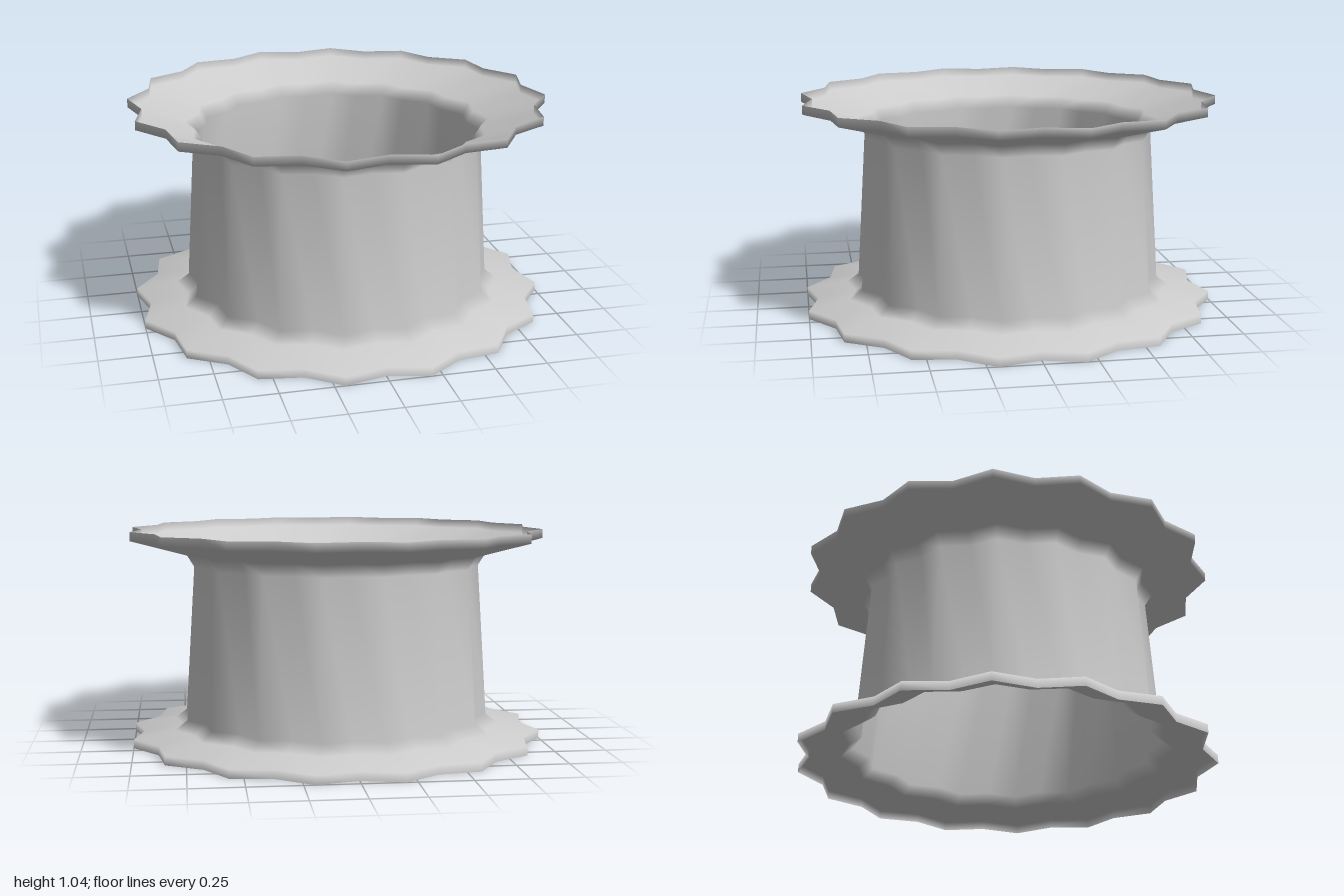
import * as THREE from 'three';
import { mergeVertices } from 'three/addons/utils/BufferGeometryUtils.js';

const LOBES = 16;

// Profile from foot to lip: [ridge radius, groove radius, height]
const PROFILE = [
  [1.02, 0.951, 0],
  [1.02, 0.951, 0.042],
  [0.815, 0.765, 0.075],
  [0.756, 0.705, 0.12],
  [0.707, 0.665, 0.865],
  [0.745, 0.7, 0.925],
  [1.02, 0.951, 1.0],
  [1.02, 0.951, 1.043],
];

// Lathe the ridge profile, then pull every second column in to the groove radius
function flutedShell() {
  const points = PROFILE.map(([ridge, , y]) => new THREE.Vector2(ridge, y));
  const geometry = new THREE.LatheGeometry(points, LOBES * 2);
  const pos = geometry.attributes.position;
  for (let column = 0; column <= LOBES * 2; column += 2) {
    PROFILE.forEach(([ridge, groove], row) => {
      const i = column * PROFILE.length + row;
      const k = groove / ridge;
      pos.setXYZ(i, pos.getX(i) * k, pos.getY(i), pos.getZ(i) * k);
    });
  }
  // Weld the seam so the shading is smooth all round
  geometry.deleteAttribute('uv');
  geometry.deleteAttribute('normal');
  const welded = mergeVertices(geometry, 1e-4);
  welded.computeVertexNormals();
  return welded;
}

export function createModel() {
  const group = new THREE.Group();
  group.name = 'flutedRing';
  const material = new THREE.MeshStandardMaterial({ color: 0xcccccc, side: THREE.DoubleSide });
  const shell = new THREE.Mesh(flutedShell(), material);
  shell.name = 'flangedShell';
  group.add(shell);
  return group;
}
